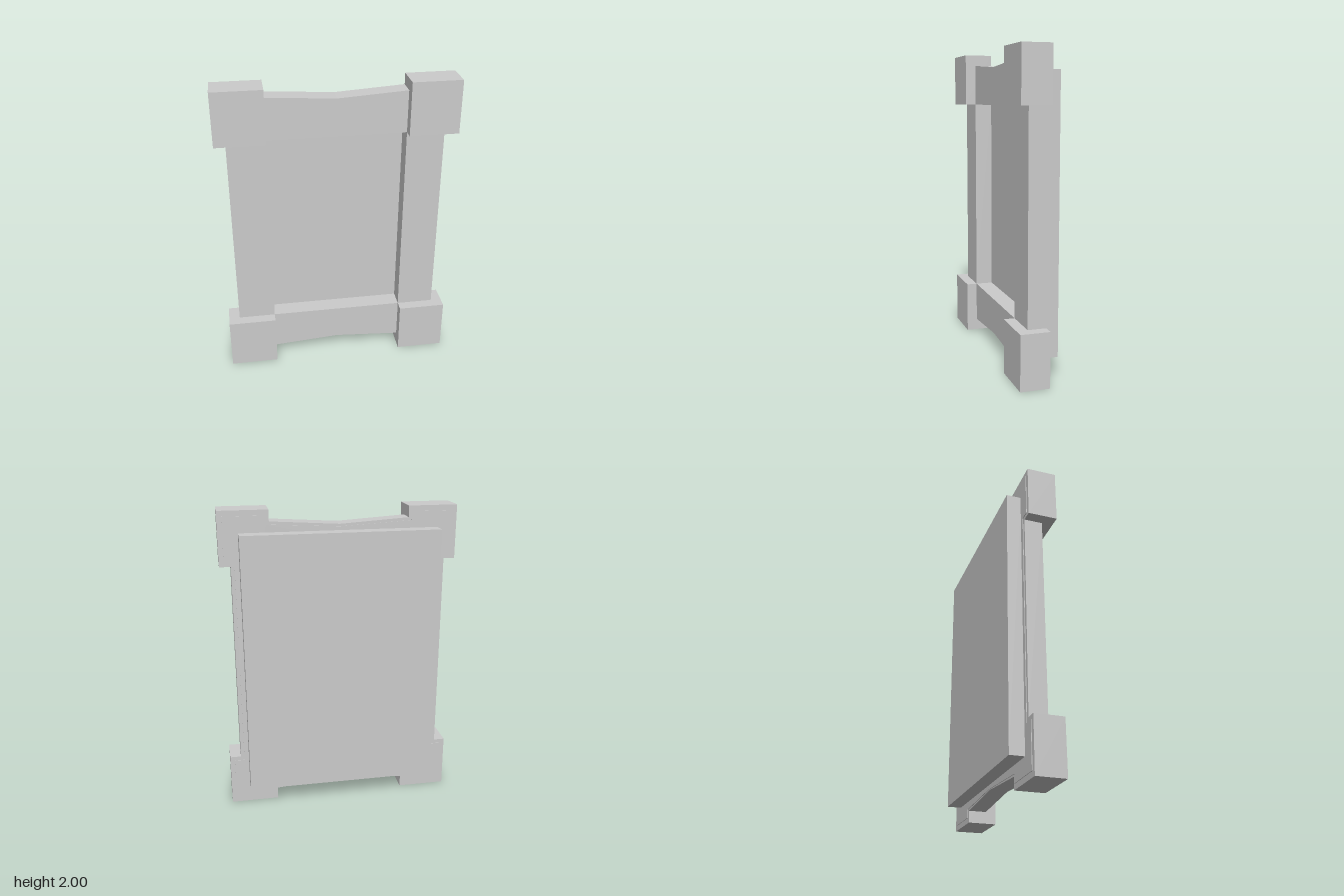
import * as THREE from 'three';

const material = new THREE.MeshStandardMaterial({ color: 0xcccccc, flatShading: true });
const BACK = -0.045; // shared back plane of the frame

function add(group, name, geometry) {
  const mesh = new THREE.Mesh(geometry, material);
  mesh.name = name;
  group.add(mesh);
  return mesh;
}

function box(x0, x1, y0, y1, z0, z1) {
  return new THREE.BoxGeometry(x1 - x0, y1 - y0, z1 - z0)
    .translate((x0 + x1) / 2, (y0 + y1) / 2, (z0 + z1) / 2);
}

function prism(points, z0, z1) {
  const shape = new THREE.Shape(points.map(([x, y]) => new THREE.Vector2(x, y)));
  return new THREE.ExtrudeGeometry(shape, { depth: z1 - z0, bevelEnabled: false }).translate(0, 0, z0);
}

export function createModel() {
  const group = new THREE.Group();
  group.name = 'frame';

  // Corner blocks and side posts
  for (const s of [-1, 1]) {
    const side = s > 0 ? 'left' : 'right';
    const span = (a, b) => (s > 0 ? [a, b] : [-b, -a]);
    add(group, side + 'LowerCorner', box(...span(0.44, 0.755), 0, 0.347, BACK, 0.142));
    add(group, side + 'UpperCorner', box(...span(0.44, 0.755), 1.657, 2, BACK, 0.142));
    add(group, side + 'Post', box(...span(0.44, 0.683), 0.347, 1.657, BACK, 0.072));
  }

  // Rails with a shallow V on their outer edge
  add(group, 'topRail', prism([[-0.44, 1.657], [0.44, 1.657], [0.44, 1.928], [0, 1.9], [-0.44, 1.928]], BACK, 0.072));
  add(group, 'bottomRail', prism([[-0.44, 0.347], [-0.44, 0.078], [0, 0.11], [0.44, 0.078], [0.44, 0.347]], BACK, 0.072));

  // Thin backing sheet following the frame outline, slightly inset
  const quarter = [[0.66, 1], [0.66, 1.68], [0.725, 1.68], [0.725, 1.965], [0.46, 1.965], [0.46, 1.91], [0, 1.885]];
  const upper = [...quarter, ...quarter.slice(0, -1).reverse().map(([x, y]) => [-x, y])];
  const lower = upper.slice(1, -1).reverse().map(([x, y]) => [x, 2 - y]);
  add(group, 'backingSheet', prism([...upper, ...lower], BACK - 0.004, BACK + 0.001));

  // Back panel
  add(group, 'backPanel', box(-0.63, 0.63, 0.14, 1.862, -0.142, BACK));
  return group;
}
